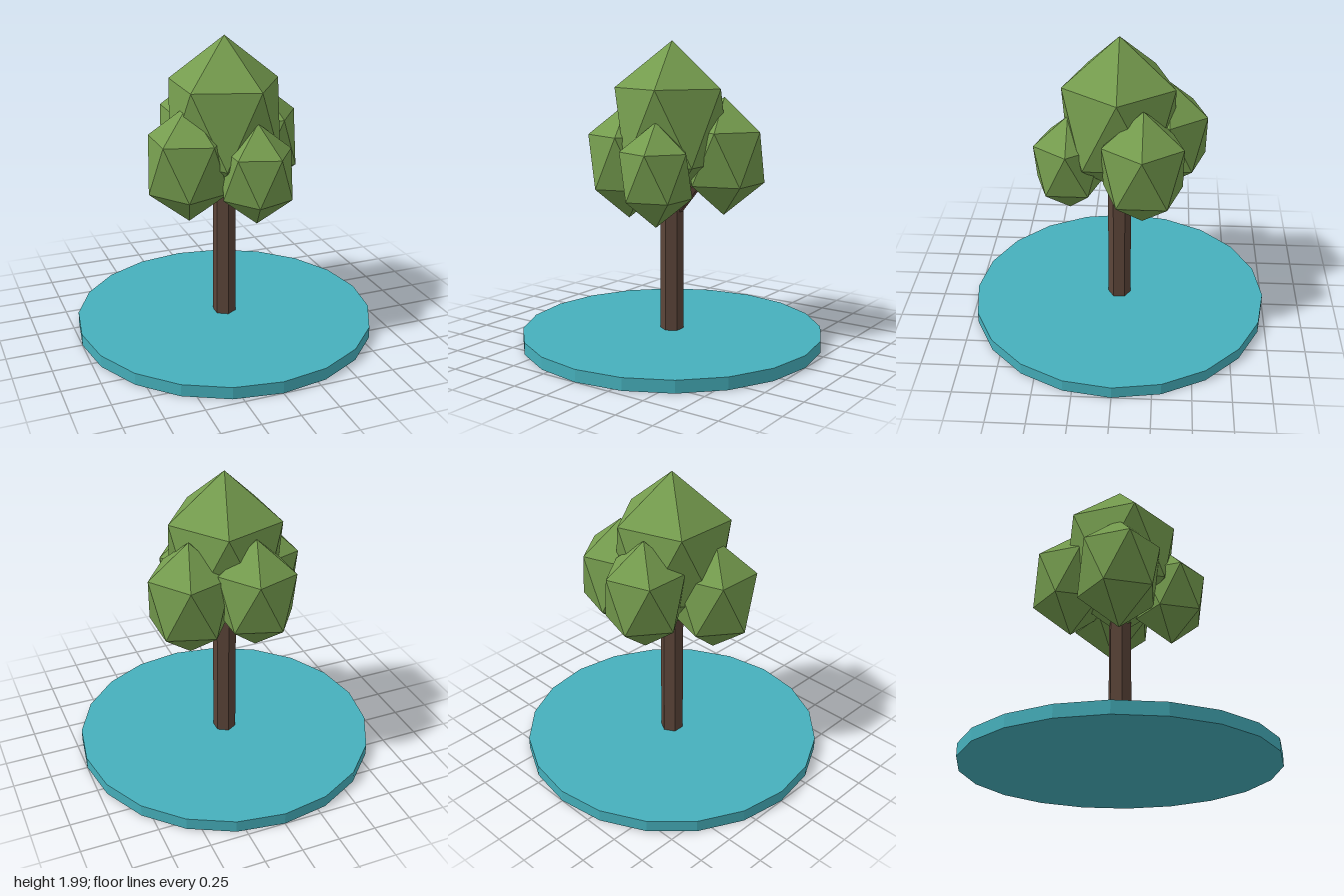
import * as THREE from 'three';

const mat = (name, color) => {
  const m = new THREE.MeshStandardMaterial({ color });
  m.name = name;
  m.flatShading = true;
  return m;
};

export function createModel() {
  const teal = mat('teal', 0x46b0bc);
  const bark = mat('bark brown', 0x5c4539);
  const leaf = mat('leaf green', 0x759c4e);

  const tree = new THREE.Group();
  tree.name = 'tree';
  const add = (name, geometry, material) => {
    const mesh = new THREE.Mesh(geometry, material);
    mesh.name = name;
    tree.add(mesh);
    return mesh;
  };

  // Twenty-sided ground disc
  add('base', new THREE.CylinderGeometry(1, 1, 0.08, 20).translate(0, 0.04, 0), teal);

  // Six-sided trunk running up into the crown
  add('trunk', new THREE.CylinderGeometry(0.077, 0.077, 1.2, 6).translate(0, 0.602, 0), bark);

  // Side branch reaching into the left clump
  const from = new THREE.Vector3(0, 0.84, 0);
  const to = new THREE.Vector3(0.25, 1.17, -0.05);
  const dir = to.clone().sub(from);
  const branch = add('branch', new THREE.CylinderGeometry(0.035, 0.035, dir.length(), 6), bark);
  branch.position.copy(from).add(to).multiplyScalar(0.5);
  branch.quaternion.setFromUnitVectors(new THREE.Vector3(0, 1, 0), dir.normalize());

  // Leaf clumps: icosahedra standing on a point, stretched upward
  const clump = new THREE.IcosahedronGeometry(1, 0).rotateZ(-Math.atan(2 / (1 + Math.sqrt(5))));
  const clumps = [
    ['crownTop', 0, 1.448, 0, 0.416],
    ['crownRight', -0.28, 1.205, 0.1, 0.297],
    ['crownFront', 0.1, 1.16, 0.32, 0.255],
    ['crownLeft', 0.3, 1.245, -0.16, 0.297],
    ['crownBack', -0.08, 1.286, -0.32, 0.283],
  ];
  for (const [name, x, y, z, r] of clumps) {
    const mesh = add(name, clump, leaf);
    mesh.position.set(x, y, z);
    mesh.scale.set(r, r * 1.3, r);
  }

  return tree;
}
